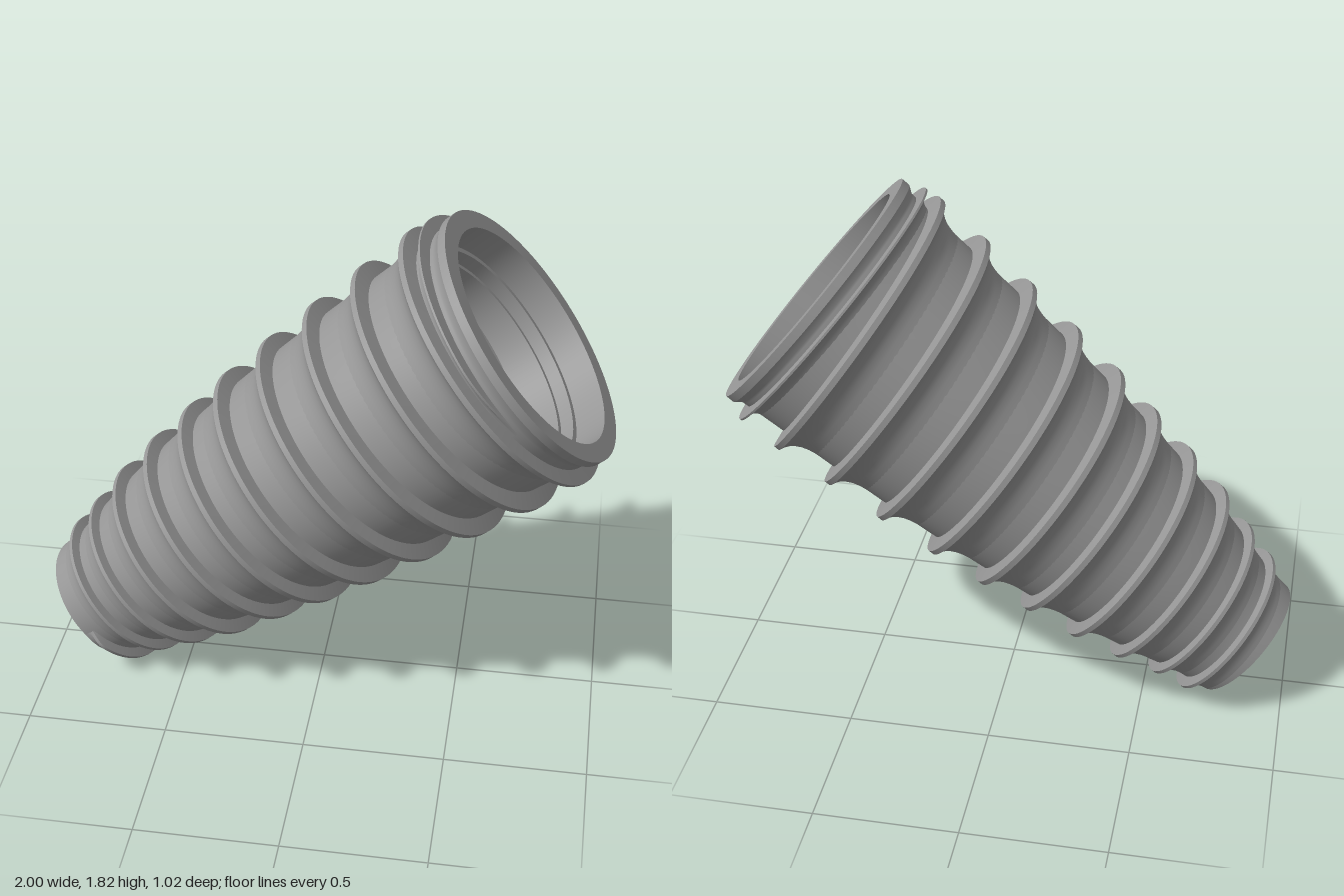
import * as THREE from 'three';
import { toCreasedNormals } from 'three/addons/utils/BufferGeometryUtils.js';

const V = (x, y) => new THREE.Vector2(x, y);

// Points are (radius, height along the axis)
const coreCurve = new THREE.SplineCurve([
  V(0.237, 0), V(0.253, 0.13), V(0.284, 0.26), V(0.32, 0.43), V(0.35, 0.61), V(0.375, 0.8),
  V(0.396, 0.99), V(0.415, 1.2), V(0.43, 1.42), V(0.441, 1.64), V(0.451, 1.85), V(0.457, 1.945),
]);
const corePoints = coreCurve.getPoints(66);

function coreRadius(s) {
  for (let i = 1; i < corePoints.length; i++) {
    const a = corePoints[i - 1], b = corePoints[i];
    if (s <= b.y) return THREE.MathUtils.lerp(a.x, b.x, (s - a.y) / (b.y - a.y));
  }
  return 0.457;
}

// Crest of the outer thread, one entry per half turn
const crestCurve = new THREE.SplineCurve([
  V(0.262, 0.012), V(0.283, 0.064), V(0.287, 0.125), V(0.303, 0.182), V(0.32, 0.257), V(0.343, 0.332),
  V(0.364, 0.42), V(0.383, 0.505), V(0.397, 0.604), V(0.411, 0.697), V(0.424, 0.796), V(0.438, 0.885),
  V(0.45, 0.986), V(0.461, 1.087), V(0.47, 1.197), V(0.479, 1.305), V(0.486, 1.416), V(0.495, 1.523),
  V(0.501, 1.636), V(0.508, 1.735), V(0.509, 1.843), V(0.508, 1.908), V(0.503, 1.917), V(0.498, 1.922),
]);
const LAST = 23;

// Sweeps a cross-section along a helix; section(k) lists [radius, height] at half turn k
function helixGeometry(k0, k1, section) {
  const rows = Math.round((k1 - k0) * 48);
  const positions = [], indices = [];
  let cols = 0;
  for (let i = 0; i <= rows; i++) {
    const k = k0 + ((k1 - k0) * i) / rows;
    const a = k * Math.PI;
    const pts = section(k);
    cols = pts.length;
    for (const [r, y] of pts) positions.push(-r * Math.cos(a), y, r * Math.sin(a));
  }
  for (let i = 0; i < rows; i++) {
    for (let j = 0; j < cols - 1; j++) {
      const p = i * cols + j, q = p + cols;
      indices.push(p, p + 1, q, p + 1, q + 1, q);
    }
  }
  const g = new THREE.BufferGeometry();
  g.setAttribute('position', new THREE.Float32BufferAttribute(positions, 3));
  g.setIndex(indices);
  return toCreasedNormals(g, 0.6);
}

export function createModel() {
  const model = new THREE.Group();
  const material = new THREE.MeshStandardMaterial({ color: 0x979797 });
  const add = (name, geometry) => {
    const mesh = new THREE.Mesh(geometry, material);
    mesh.name = name;
    model.add(mesh);
  };
  const smooth = THREE.MathUtils.smoothstep;

  // Tapered body with a closed tip, a flared collar and a stepped hollow bore
  const boreRadius = (s) => 0.372 - 0.04 * (1.83 - s);
  const profile = [
    V(0, 0), ...corePoints, V(0.475, 1.97), V(0.475, 2),
    V(0.407, 2), V(0.407, 1.885), V(0.388, 1.885), V(0.388, 1.835),
    V(boreRadius(1.835), 1.835), V(boreRadius(0.8), 0.8), V(0, 0.8),
  ];
  add('taperedBody', toCreasedNormals(new THREE.LatheGeometry(profile, 96), 0.6));

  // Outer thread: flat upper flank, narrow land, concave lower flank [axial offset, height]
  const buttress = [
    [0.02, -0.15], [0.01, 1], [-0.01, 1], [-0.018, 0.74], [-0.03, 0.5],
    [-0.047, 0.3], [-0.067, 0.15], [-0.092, 0.05], [-0.125, -0.03],
  ];
  add('outerThread', helixGeometry(0.5, 22.55, (k) => {
    const crest = crestCurve.getPoint(k / LAST);
    const fade = smooth(k, 0.48, 0.58) * (1 - smooth(k, 22.35, 22.55));
    const width = (0.6 + 0.4 * smooth(k, 0, 12)) * (1 - 0.65 * smooth(k, 20.4, 21));
    const height = (crest.x - coreRadius(crest.y)) * fade;
    return buttress.map(([a, h]) => {
      const s = Math.max(0, crest.y + a * width);
      const root = coreRadius(s);
      const r = h === 1 ? coreRadius(crest.y) + height : root + (h < 0 ? h * 0.03 : h * height);
      return [r, s];
    });
  }));

  // Inner thread running down the bore
  const ridge = [[-0.03, -0.1], [-0.01, 1], [0.01, 1], [0.018, -0.1]];
  add('innerThread', helixGeometry(0.5, 13, (k) => {
    const s = 0.86 + 0.0735 * k;
    const fade = smooth(k, 0.5, 1) * (1 - smooth(k, 12.6, 13));
    return ridge.map(([a, h]) => [boreRadius(s + a) - 0.024 * h * (h > 0 ? fade : 1), s + a]);
  }));

  // Lean the whole screw over, resting on its tip
  model.rotation.z = -0.883;
  model.position.set(-0.85, 0.187, 0);
  const root = new THREE.Group();
  root.name = 'hollowTaperedScrew';
  root.add(model);
  return root;
}
